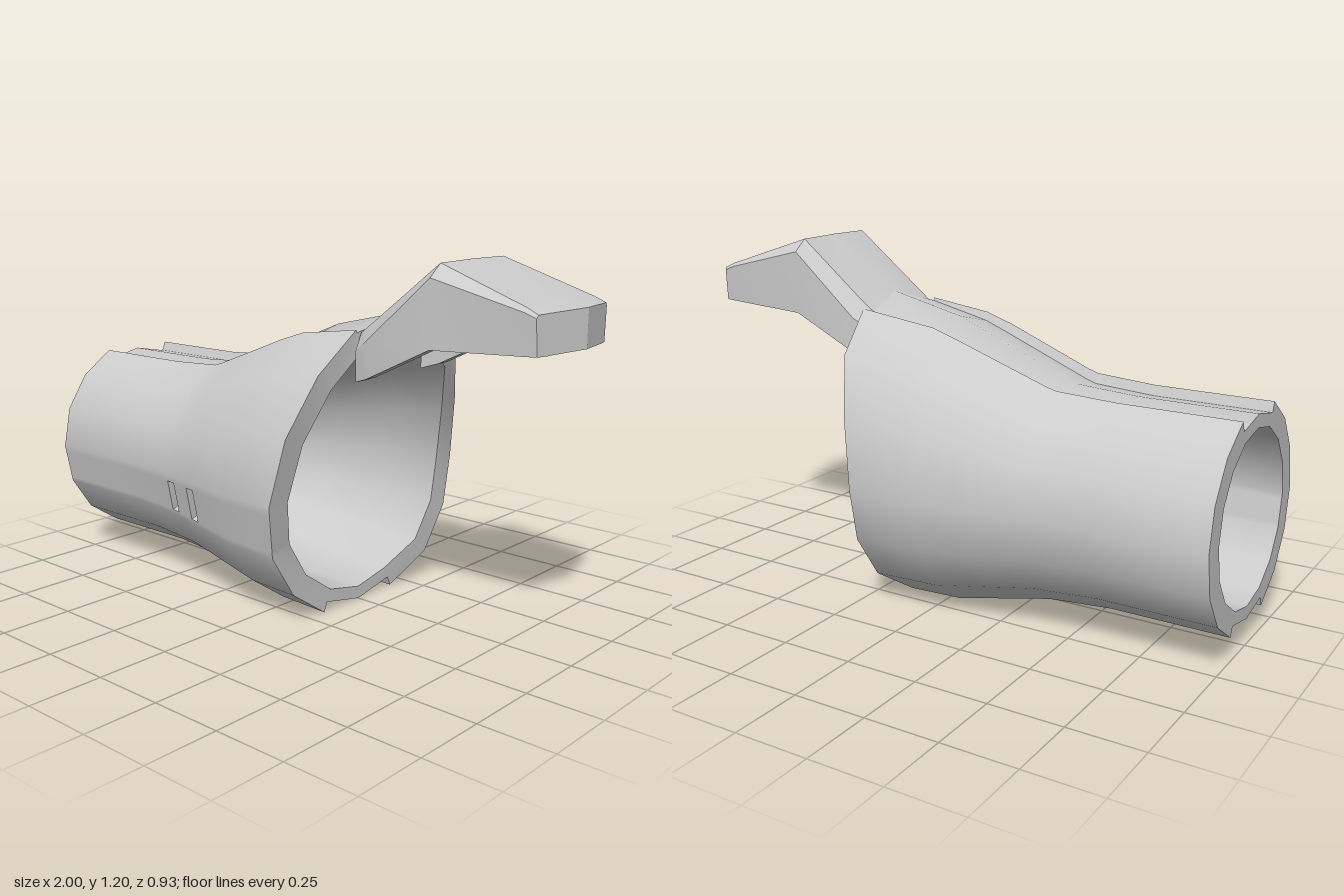
import * as THREE from 'three';
import { toCreasedNormals } from 'three/addons/utils/BufferGeometryUtils.js';

const material = new THREE.MeshStandardMaterial({ color: 0xcccccc, side: THREE.DoubleSide });

// Collects quads and turns them into a creased mesh
function quadBuilder() {
  const pos = [];
  return {
    quad(a, b, c, d) { pos.push(...a, ...b, ...c, ...a, ...c, ...d); },
    mesh(name, crease = 0.6) {
      const g = new THREE.BufferGeometry();
      g.setAttribute('position', new THREE.Float32BufferAttribute(pos, 3));
      const m = new THREE.Mesh(toCreasedNormals(g, crease), material);
      m.name = name;
      return m;
    },
  };
}

// Piecewise linear lookup in [x, value] pairs
function lookup(table, x) {
  if (x <= table[0][0]) return table[0][1];
  for (let i = 1; i < table.length; i++) {
    const [x0, v0] = table[i - 1], [x1, v1] = table[i];
    if (x <= x1) return v0 + (v1 - v0) * (x - x0) / (x1 - x0);
  }
  return table[table.length - 1][1];
}

// Sleeve radii along x: sideways, upward, downward
const OUTER = {
  side: [[-1, 0.37], [-0.6, 0.37], [-0.38, 0.392], [-0.04, 0.455], [0.2, 0.465], [0.34, 0.467]],
  up: [[-1, 0.37], [-0.6, 0.37], [-0.38, 0.383], [-0.04, 0.515], [0.06, 0.55], [0.34, 0.59]],
  down: [[-1, 0.37], [-0.6, 0.37], [-0.38, 0.386], [-0.04, 0.465], [0.2, 0.475]],
};
const INNER = {
  side: [[-1, 0.29], [-0.6, 0.305], [-0.38, 0.32], [-0.04, 0.37], [0.2, 0.38]],
  up: [[-1, 0.29], [-0.6, 0.305], [-0.38, 0.32], [-0.04, 0.43], [0.06, 0.46], [0.34, 0.52]],
  down: [[-1, 0.29], [-0.6, 0.305], [-0.38, 0.32], [-0.04, 0.385], [0.2, 0.395]],
};
const CENTRE = [[-1, 0.433], [-0.38, 0.436], [-0.04, 0.443], [0.2, 0.445]];
const GROOVE = 0.036;

// Where the mouth ends, from top (0) to bottom (8), for each side
const MOUTH_LEFT = [0.34, 0.29, 0.265, 0.22, 0.18, 0.158, 0.155, 0.155, 0.155];
const MOUTH_RIGHT = [0.34, 0.34, 0.31, 0.24, 0.2, 0.2, 0.195, 0.155, 0.155];

function ringPoint(radii, x, k, inset) {
  // Points between whole steps lie on the straight facet
  const k0 = Math.floor(k), f = k - k0;
  if (f > 0) {
    const a = ringPoint(radii, x, k0, inset), b = ringPoint(radii, x, k0 + 1, inset);
    return a.map((v, i) => v + (b[i] - v) * f);
  }
  const angle = k * Math.PI / 8, c = Math.cos(angle), s = Math.sin(angle);
  const ry = lookup(c > 0 ? radii.up : radii.down, x) - inset;
  return [x, lookup(CENTRE, x) + ry * c, (lookup(radii.side, x) - inset) * s];
}

function mouthX(k) {
  const table = k <= 8 ? MOUTH_LEFT : MOUTH_RIGHT;
  const j = k <= 8 ? k : 16 - k;
  return lookup(table.map((v, i) => [i, v]), j);
}

// Sixteen-sided sleeve with a shallow groove above and below and two slots
function makeSleeve() {
  const b = quadBuilder();
  const columns = []; // [step around, inside groove]
  for (let k = 0; k < 16; k++) {
    const floor = k === 0 || k === 8;
    if (k === 7 || k === 15) columns.push([k, false], [k, true]);
    else if (k === 1 || k === 9) columns.push([k, true], [k, false]);
    else columns.push([k, floor]);
    if (k === 4) columns.push([4.17, false], [4.9, false]);
  }
  const stations = [-1, -0.6, -0.39, -0.352, -0.27, -0.232, -0.04, 0.06, null];

  const point = (radii, i, [k, floor]) => {
    const x = stations[i] === null ? mouthX(k) : stations[i];
    // The upper groove fades out where it runs into the guard
    const depth = k < 4 || k > 12 ? lookup([[0, GROOVE], [0.34, 0.006]], x) : GROOVE;
    return ringPoint(radii, x, k, radii === OUTER && floor ? depth : 0);
  };

  const last = stations.length - 1;
  columns.forEach((c0, j) => {
    const c1 = columns[(j + 1) % columns.length];
    const step = c0[0] !== c1[0];
    for (let i = 0; i < last; i++) {
      const o = [point(OUTER, i, c0), point(OUTER, i, c1), point(OUTER, i + 1, c1), point(OUTER, i + 1, c0)];
      const n = [point(INNER, i, c0), point(INNER, i, c1), point(INNER, i + 1, c1), point(INNER, i + 1, c0)];
      if (c0[0] === 4.17 && (i === 2 || i === 4)) {
        // Slot: leave the panel open and line the hole
        for (let e = 0; e < 4; e++) {
          const f = (e + 1) % 4;
          b.quad(o[e], o[f], n[f], n[e]);
        }
        continue;
      }
      b.quad(...o);
      if (step) b.quad(n[3], n[2], n[1], n[0]);
    }
    // End rims
    if (step) {
      b.quad(point(OUTER, 0, c0), point(INNER, 0, c0), point(INNER, 0, c1), point(OUTER, 0, c1));
      b.quad(point(OUTER, last, c0), point(OUTER, last, c1), point(INNER, last, c1), point(INNER, last, c0));
    }
  });
  return b.mesh('sleeve');
}

// Bent channel-shaped guard with a closed, slightly pointed tip
function makeGuard() {
  const b = quadBuilder();
  const wall = 0.048;
  const sections = [
    { x: 0.30, bottom: [0.193, 0.82], shoulder: [0.193, 0.92], top: [0.165, 0.975], crown: 1.005 },
    { x: 0.36, bottom: [0.213, 0.84], shoulder: [0.213, 0.96], top: [0.168, 1.02], crown: 1.043 },
    { x: 0.6, bottom: [0.215, 0.957], shoulder: [0.215, 1.17], top: [0.165, 1.21], crown: 1.212 },
    { x: 0.91, bottom: [0.192, 0.97], shoulder: [0.198, 1.095], top: [0.185, 1.108], crown: 1.115 },
    { x: 0.911, bottom: [0.192, 0.97], shoulder: [0.198, 1.095], top: [0.185, 1.108], crown: 1.115, solid: true },
    { x: 0.95, bottom: [0.188, 0.972], shoulder: [0.195, 1.08], top: [0.188, 1.09], crown: 1.098, solid: true, bulge: 0.05 },
  ];
  const loops = sections.map(({ x, bottom, shoulder, top, crown, solid, bulge = 0 }) => {
    const at = (z, y) => [x + bulge * (1 - Math.abs(z) / 0.195), y, z];
    const half = [bottom, shoulder, top];
    const innerHalf = half.map(([z, y], i) =>
      [z - wall * (i === 2 ? 0.5 : 1), solid || i === 0 ? bottom[1] : y - wall * 0.6 * i]);
    const arch = (pts, mid) => [
      ...pts.map(([z, y]) => at(z, y)), at(0, mid),
      ...[...pts].reverse().map(([z, y]) => at(-z, y)),
    ];
    return { outer: arch(half, crown), inner: arch(innerHalf, solid ? bottom[1] + 0.006 : crown - wall) };
  });
  for (let s = 0; s < loops.length - 1; s++) {
    const p = loops[s], q = loops[s + 1];
    for (let i = 0; i < 6; i++) {
      b.quad(p.outer[i + 1], p.outer[i], q.outer[i], q.outer[i + 1]);
      b.quad(p.inner[i], p.inner[i + 1], q.inner[i + 1], q.inner[i]);
    }
    // Lower edges of the side walls
    b.quad(p.outer[0], p.inner[0], q.inner[0], q.outer[0]);
    b.quad(p.inner[6], p.outer[6], q.outer[6], q.inner[6]);
  }
  // End faces
  const first = loops[0], tip = loops[loops.length - 1];
  for (let i = 0; i < 6; i++) {
    b.quad(first.outer[i], first.outer[i + 1], first.inner[i + 1], first.inner[i]);
    b.quad(tip.outer[i + 1], tip.outer[i], tip.inner[i], tip.inner[i + 1]);
  }
  return b.mesh('handGuard', 0.4);
}

export function createModel() {
  const model = new THREE.Group();
  model.name = 'guardedSleeve';
  model.add(makeSleeve(), makeGuard());
  return model;
}
